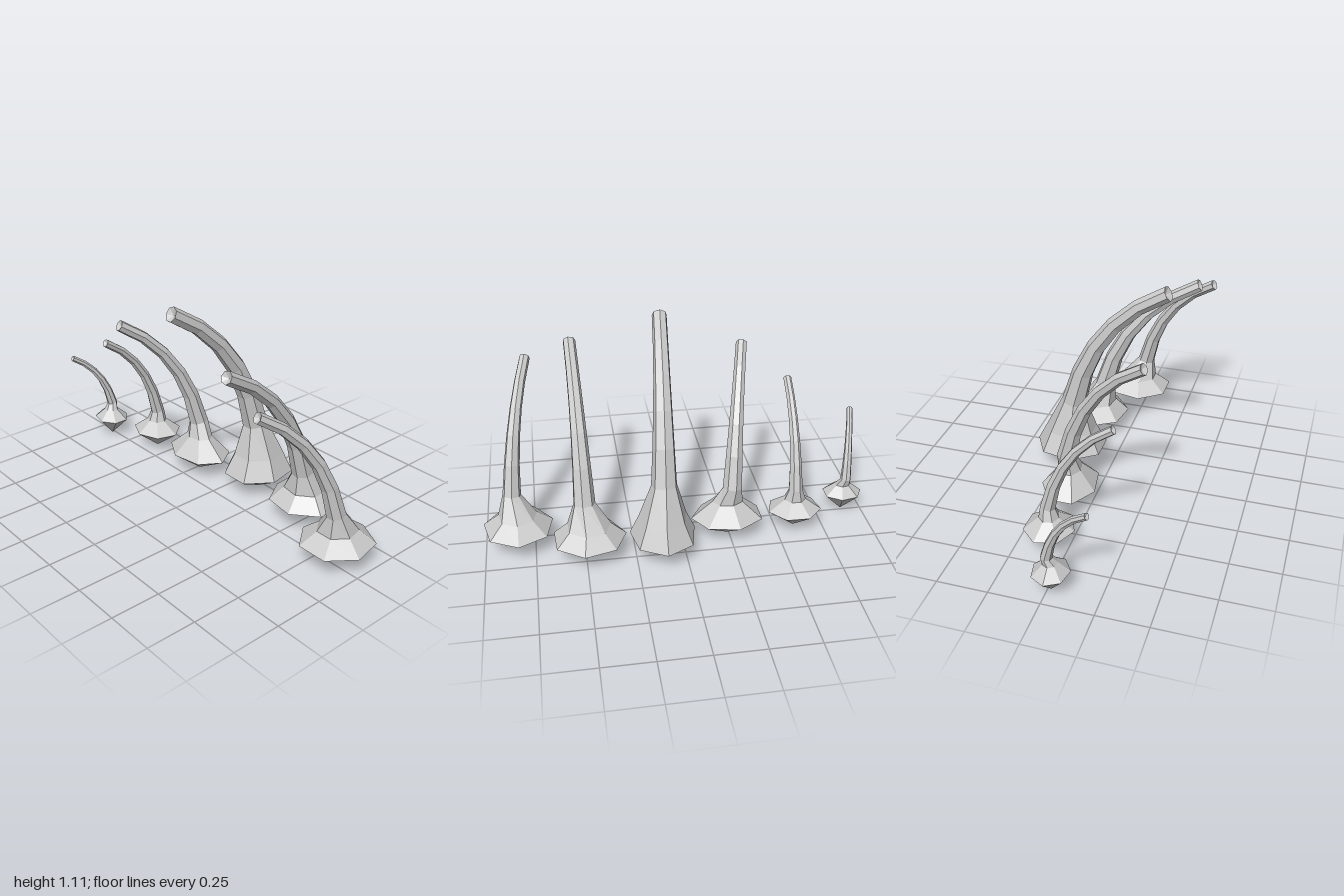
import * as THREE from 'three';

const SIDES = 7;
const RIM_Y = 0.105;
const STEM_STEPS = 6;

// One row per stalk. rim: centre x, z, half-width, half-depth, start angle
// shoulder: height, share of rim size; neck: x, y, z, radius; tip: x, y, z
const STALKS = [
  { rim: [-0.895, 0.015, 0.105, 0.09, 3.14], shoulder: [0.155, 0.4], neck: [-0.905, 0.19, 0, 0.028], tip: [-0.965, 0.505, 0.21] },
  { rim: [-0.6, -0.095, 0.142, 0.125, 2.5], shoulder: [0.165, 0.4], neck: [-0.6, 0.22, -0.1, 0.037], tip: [-0.61, 0.71, 0.22] },
  { rim: [-0.24, -0.11, 0.19, 0.142, 0], shoulder: [0.2, 0.42], neck: [-0.26, 0.28, -0.12, 0.05], tip: [-0.375, 0.895, 0.29] },
  { rim: [0.11, -0.22, 0.17, 0.19, -1.57], shoulder: [0.21, 0.72], neck: [0.1, 0.38, -0.2, 0.066], tip: [0.05, 1.075, 0.295] },
  { rim: [0.48, -0.19, 0.188, 0.175, -1.4], shoulder: [0.175, 0.6], neck: [0.495, 0.28, -0.15, 0.056], tip: [0.505, 0.935, 0.36] },
  { rim: [0.83, -0.04, 0.18, 0.188, -1.57], shoulder: [0.17, 0.55], neck: [0.85, 0.27, 0, 0.047], tip: [0.735, 0.845, 0.395] },
];

// A closed ring of corners around a centre, spread along two axes
function ring(centre, axisA, axisB, startAngle) {
  return Array.from({ length: SIDES }, (_, i) => {
    const a = startAngle + (i / SIDES) * Math.PI * 2;
    return centre.clone().addScaledVector(axisA, Math.cos(a)).addScaledVector(axisB, Math.sin(a));
  });
}

// Joins rings into a faceted skin, with an optional point at the bottom and top
function skin(rings, bottom, top) {
  const points = [];
  const last = rings[rings.length - 1];
  for (let i = 0; i < SIDES; i++) {
    const j = (i + 1) % SIDES;
    if (bottom) points.push(bottom, rings[0][i], rings[0][j]);
    for (let k = 0; k < rings.length - 1; k++) {
      const a = rings[k], b = rings[k + 1];
      points.push(a[i], b[i], b[j], a[i], b[j], a[j]);
    }
    if (top) points.push(last[i], top, last[j]);
  }
  const geometry = new THREE.BufferGeometry().setFromPoints(points);
  geometry.computeVertexNormals();
  return geometry;
}

// The stem rises steeply from the neck, then leans forward to the tip
function stemCurve(neck, tip) {
  const start = new THREE.Vector3(neck[0], neck[1], neck[2]);
  const end = new THREE.Vector3(...tip);
  const bend = new THREE.Vector3(0.25, 0.7, 0.2).multiply(end.clone().sub(start)).add(start);
  return new THREE.QuadraticBezierCurve3(start, bend, end);
}

// Tapering rings square to the stem's curve
function stemRings(curve, neckRadius, startAngle) {
  return Array.from({ length: STEM_STEPS }, (_, k) => {
    const t = k / (STEM_STEPS - 1);
    const radius = neckRadius * (0.58 + 0.42 * (1 - t) ** 2);
    const along = curve.getTangent(t);
    const side = new THREE.Vector3(1, 0, 0).addScaledVector(along, -along.x).normalize();
    const front = new THREE.Vector3().crossVectors(side, along);
    return ring(curve.getPoint(t), side.multiplyScalar(radius), front.multiplyScalar(radius), startAngle);
  });
}

export function createModel() {
  const model = new THREE.Group();
  model.name = 'curvedStalks';
  const material = new THREE.MeshStandardMaterial({ color: 0xcccccc, flatShading: true });

  STALKS.forEach(({ rim, shoulder, neck, tip }, index) => {
    const stalk = new THREE.Group();
    stalk.name = `stalk${index + 1}`;
    const add = (name, geometry) => {
      const mesh = new THREE.Mesh(geometry, material);
      mesh.name = name;
      stalk.add(mesh);
    };
    const [x, z, halfWidth, halfDepth, startAngle] = rim;
    const curve = stemCurve(neck, tip);
    const stem = stemRings(curve, neck[3], startAngle);

    // Pointed foot, wide rim and flare up to the neck
    const level = (y, share) => ring(
      new THREE.Vector3(x, y, z),
      new THREE.Vector3(halfWidth * share, 0, 0),
      new THREE.Vector3(0, 0, halfDepth * share),
      startAngle,
    );
    add('flaredBase', skin([level(RIM_Y, 1), level(...shoulder), stem[0]], new THREE.Vector3(x, 0, z), null));

    // Curved stem with a slightly sunken end
    add('curvedStem', skin(stem, null, curve.getPoint(0.98)));
    model.add(stalk);
  });
  return model;
}
